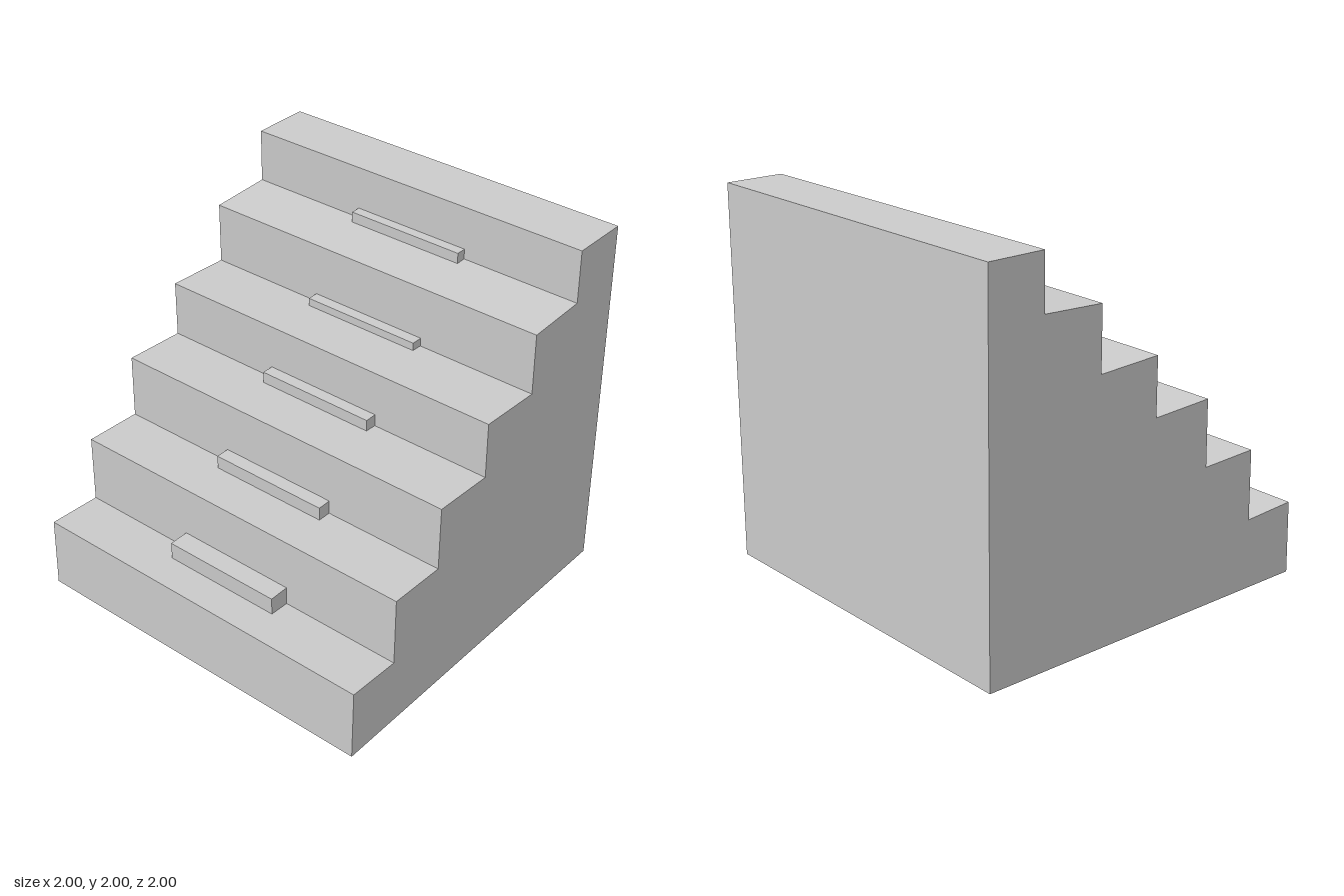
import * as THREE from 'three';

export function createModel() {
  const model = new THREE.Group();
  const material = new THREE.MeshStandardMaterial({ color: 0xcccccc, flatShading: true });

  // Stair body: slightly uneven stepped profile extruded along z
  const profile = [
    [-1, 0], [0.995, 0], [0.995, 1.995], [0.68, 1.995],
    [0.68, 1.71], [0.34, 1.695], [0.34, 1.365], [-0.015, 1.38],
    [-0.015, 1.075], [-0.36, 1.09], [-0.365, 0.74], [-0.685, 0.75],
    [-0.69, 0.375], [-0.99, 0.39],
  ];
  const shape = new THREE.Shape(profile.map(([x, y]) => new THREE.Vector2(x, y)));
  const bodyGeometry = new THREE.ExtrudeGeometry(shape, { depth: 2, bevelEnabled: false });
  bodyGeometry.translate(0, 0, -1);
  const body = new THREE.Mesh(bodyGeometry, material);
  body.name = 'stairBody';
  model.add(body);

  // Small ledge blocks against each riser: [outer x, riser x, tread y, top y]
  const ledges = [
    [-0.80, -0.69, 0.375, 0.475],
    [-0.44, -0.365, 0.74, 0.815],
    [-0.08, -0.015, 1.075, 1.14],
    [0.28, 0.34, 1.365, 1.41],
    [0.625, 0.68, 1.705, 1.765],
  ];
  ledges.forEach(([x0, x1, y0, y1], i) => {
    const ledge = new THREE.Mesh(new THREE.BoxGeometry(x1 - x0, y1 - y0, 0.67), material);
    ledge.position.set((x0 + x1) / 2, (y0 + y1) / 2, 0);
    ledge.name = `ledgeBlock${i + 1}`;
    model.add(ledge);
  });

  return model;
}
